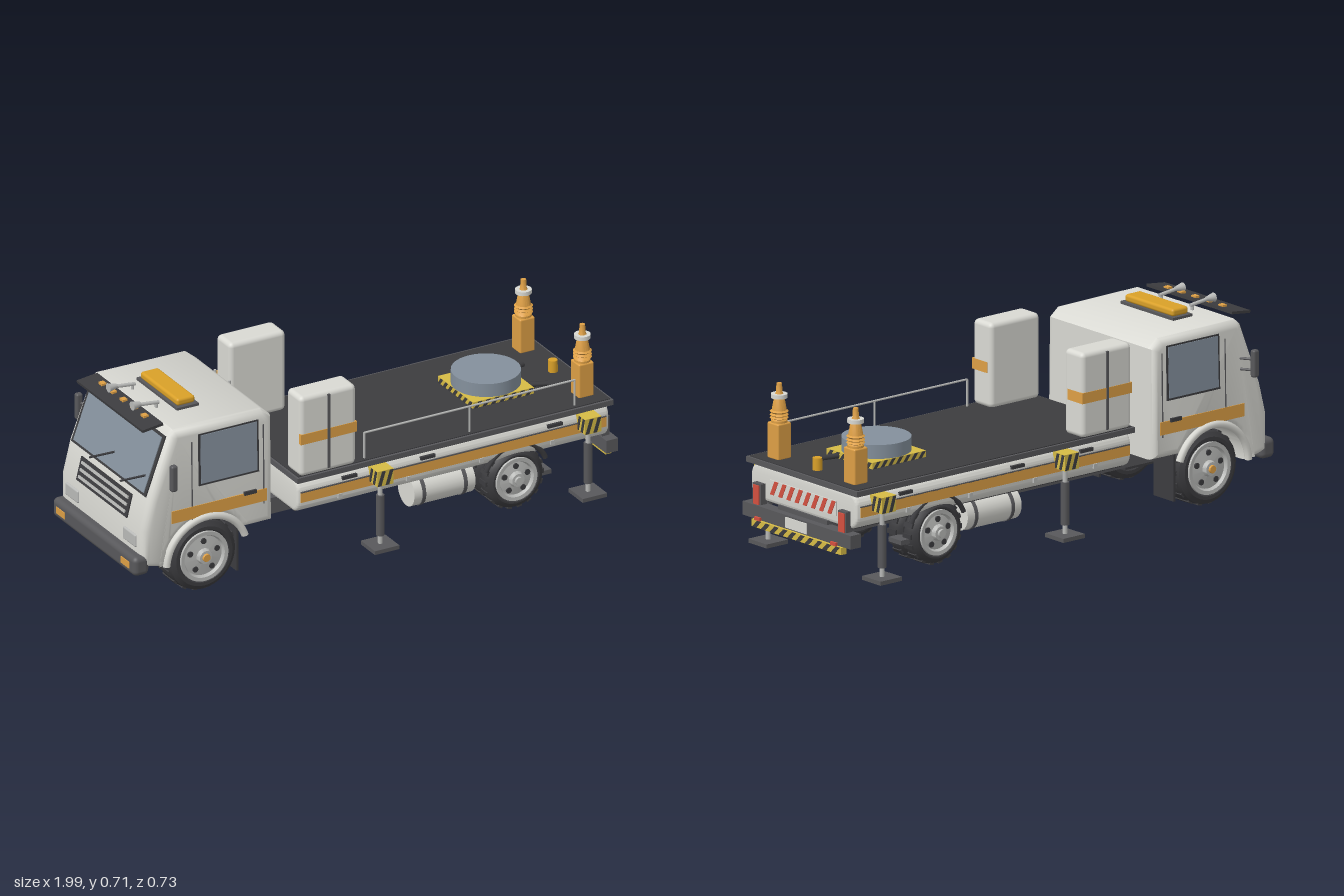
import * as THREE from 'three';
import { toCreasedNormals } from 'three/addons/utils/BufferGeometryUtils.js';
import { RoundedBoxGeometry } from 'three/addons/geometries/RoundedBoxGeometry.js';

const mat = (name, color) => Object.assign(new THREE.MeshStandardMaterial({ color }), { name });
const M = {
  white: mat('warm white paint', 0xd9d9d3), orange: mat('orange', 0xdd9f45), amber: mat('amber lens', 0xd9a028),
  dark: mat('dark grey trim', 0x58585b), black: mat('near black rubber', 0x3c3c3f), glass: mat('blue grey', 0x84909c),
  yellow: mat('hazard yellow', 0xd6bb45), red: mat('signal red', 0xd4503f), metal: mat('light metal', 0xb9bab8),
};

export function createModel() {
  const root = new THREE.Group();
  root.name = 'serviceTruck';
  const add = (name, geo, m, x = 0, y = 0, z = 0, parent = root) => {
    const mesh = new THREE.Mesh(geo, m);
    mesh.name = name;
    mesh.position.set(x, y, z);
    parent.add(mesh);
    return mesh;
  };
  // box given by its limits on each axis
  const box = (name, m, x0, x1, y0, y1, z0, z1, r = 0) => {
    const s = [x1 - x0, y1 - y0, z1 - z0];
    return add(name, r ? new RoundedBoxGeometry(...s, 3, r) : new THREE.BoxGeometry(...s), m,
      (x0 + x1) / 2, (y0 + y1) / 2, (z0 + z1) / 2);
  };
  const sideBox = (name, m, s, x0, x1, y0, y1, z0, z1, r = 0) =>
    box(name, m, x0, x1, y0, y1, s > 0 ? z0 : -z1, s > 0 ? z1 : -z0, r);
  const rod = (name, m, a, b, r) => {
    const p = new THREE.Vector3(...a), q = new THREE.Vector3(...b), d = q.clone().sub(p);
    const mesh = add(name, new THREE.CylinderGeometry(r, r, d.length(), 8), m, ...p.add(q).multiplyScalar(0.5).toArray());
    mesh.quaternion.setFromUnitVectors(new THREE.Vector3(0, 1, 0), d.normalize());
  };
  const poly = pts => new THREE.Shape(pts.map(p => new THREE.Vector2(...p)));
  const plate = (pts, depth = 0.004) => new THREE.ExtrudeGeometry(poly(pts), { depth, bevelEnabled: false });
  // row of slanted stripes, centred, facing +z before turning by ry
  const stripes = (name, m, w, h, n, x, y, z, ry) => {
    const g = new THREE.Group();
    g.name = name;
    g.position.set(x, y, z);
    g.rotation.y = ry;
    root.add(g);
    const p = w / n, k = p * 0.45;
    for (let i = 0; i < n; i++) {
      const u = -w / 2 + i * p;
      add('stripe', plate([[u, -h / 2], [u + k, -h / 2], [u + p, h / 2], [u + p - k, h / 2]], 0.002), m, 0, 0, 0, g);
    }
  };

  // Cab: side profile with wheel arch, rounded edges, slight taper to the roof
  const cab = poly([[-0.43, 0.22], [-0.43, 0.63], [-0.47, 0.663], [-0.83, 0.667], [-0.85, 0.65], [-0.935, 0.42],
    [-0.965, 0.30], [-0.965, 0.16], [-0.88, 0.14]]);
  cab.absarc(-0.705, 0.14, 0.165, Math.PI, 0.5, true);
  const cabGeo = new THREE.ExtrudeGeometry(cab, { depth: 0.53, bevelThickness: 0.033, bevelSize: 0.03, bevelOffset: -0.03,
    bevelSegments: 5, curveSegments: 24 });
  cabGeo.translate(0, 0, -0.265);
  const taper = y => 1 - 0.1 * Math.max(0, y - 0.42);
  const P = cabGeo.attributes.position;
  for (let i = 0; i < P.count; i++) P.setZ(i, P.getZ(i) * taper(P.getY(i)));
  add('cabShell', toCreasedNormals(cabGeo, 0.7), M.white);
  box('cabUnderside', M.black, -0.93, -0.44, 0.15, 0.32, -0.13, 0.13);

  // Windshield, visor and grille on the front
  const slant = -Math.atan2(0.085, 0.23);
  const ws = add('windshieldFrame', new THREE.BoxGeometry(0.008, 0.235, 0.53), M.black, -0.894, 0.532, 0);
  const wg = add('windshield', new THREE.BoxGeometry(0.008, 0.215, 0.50), M.glass, -0.897, 0.533, 0);
  ws.rotation.z = wg.rotation.z = slant;
  for (const z of [-0.12, 0.1]) rod('wiper', M.black, [-0.945, 0.42, z], [-0.918, 0.49, z + 0.13], 0.004);
  const grille = new THREE.Group();
  grille.name = 'grille';
  grille.position.set(-0.951, 0.355, 0);
  grille.rotation.z = -0.245;
  root.add(grille);
  add('grillePanel', new THREE.BoxGeometry(0.01, 0.09, 0.36), M.black, 0, 0, 0, grille);
  for (let i = -1; i <= 1; i++) add('grilleBar', new THREE.BoxGeometry(0.012, 0.01, 0.33), M.metal, -0.004, i * 0.027, 0, grille);
  const visor = add('sunVisor', new THREE.BoxGeometry(0.085, 0.01, 0.47), M.black, -0.89, 0.672, 0);
  visor.rotation.z = 0.12;
  for (let i = -2; i <= 2; i++) box('markerLight', M.orange, -0.885, -0.865, 0.672, 0.686, i * 0.075 - 0.012, i * 0.075 + 0.012);
  box('frontBumper', M.dark, -1.0, -0.935, 0.13, 0.205, -0.295, 0.295, 0.02);
  box('beaconBase', M.dark, -0.74, -0.65, 0.655, 0.675, -0.145, 0.145);
  box('beaconBar', M.amber, -0.732, -0.658, 0.674, 0.702, -0.133, 0.133, 0.01);

  for (const s of [1, -1]) {
    const side = (name, m, pts, z = 0.298) => {
      const mesh = add(name, plate(pts), m, 0, 0, s > 0 ? z : -z - 0.004);
      return mesh;
    };
    // Door, side window and stripe
    const rect = (x0, x1, y0, y1) => [[x0, y0], [x1, y0], [x1, y1], [x0, y1]];
    const tilt = (name, m, r, lift) => {
      const g = plate(rect(...r)), q = g.attributes.position;
      for (let i = 0; i < q.count; i++) q.setZ(i, s * (0.298 * taper(q.getY(i)) + lift) + q.getZ(i) - 0.002);
      g.computeVertexNormals();
      add(name, g, m);
    };
    tilt('windowFrame', M.black, [-0.738, -0.492, 0.432, 0.634], 0);
    tilt('sideWindow', M.glass, [-0.73, -0.5, 0.44, 0.628], 0.002);
    for (const x of [-0.765, -0.472]) tilt('doorSeam', M.dark, [x - 0.002, x + 0.002, 0.30, 0.61], 0);
    side('cabStripe', M.orange, [[-0.85, 0.31], [-0.46, 0.31], [-0.46, 0.358], [-0.85, 0.358]], 0.296);
    sideBox('doorHandle', M.black, s, -0.555, -0.505, 0.352, 0.366, 0.298, 0.306);
    // Arch lip
    const lip = add('archLip', new THREE.TorusGeometry(0.165, 0.014, 8, 32, 2.75), M.white, -0.705, 0.14, s * 0.298);
    lip.rotation.z = 0.35;
    const liner = add('archLiner', new THREE.CylinderGeometry(0.162, 0.162, 0.15, 28, 1, true), M.black, -0.705, 0.14, s * 0.21);
    liner.rotation.x = Math.PI / 2;
    liner.geometry = new THREE.CylinderGeometry(0.163, 0.163, 0.15, 28, 1, true, Math.PI / 2, Math.PI);
    liner.material = M.black;
    liner.visible = false;
    // Mirrors, horns and lamps
    sideBox('mirror', M.dark, s, -0.878, -0.852, 0.46, 0.562, 0.327, 0.351, 0.008);
    for (const y of [0.485, 0.525]) rod('mirrorArm', M.dark, [-0.83, y, s * 0.28], [-0.865, y, s * 0.335], 0.005);
    rod('horn', M.metal, [-0.87, 0.695, s * 0.085], [-0.78, 0.685, s * 0.085], 0.007);
    const bell = add('hornBell', new THREE.CylinderGeometry(0.008, 0.017, 0.035, 16), M.metal, -0.872, 0.695, s * 0.085);
    bell.rotation.z = Math.PI / 2 * -1;
    rod('hornFoot', M.metal, [-0.79, 0.65, s * 0.085], [-0.79, 0.69, s * 0.085], 0.006);
    sideBox('headlight', M.metal, s, -0.972, -0.955, 0.225, 0.275, 0.16, 0.25, 0.007);
    sideBox('frontIndicator', M.orange, s, -1.003, -0.99, 0.155, 0.18, 0.2, 0.26);
    sideBox('frontMudFlap', M.black, s, -0.563, -0.555, 0.04, 0.22, 0.15, 0.26);

    // Cargo body side trim
    side('bodyStripe', M.orange, rect(-0.32, 0.93, 0.264, 0.302), 0.294);
    sideBox('bodyStripeLine', M.dark, s, -0.32, 0.93, 0.301, 0.305, 0.29, 0.298);
    for (const x of [-0.12, 0.2, 0.72]) sideBox('latch', M.black, s, x - 0.03, x + 0.03, 0.313, 0.325, 0.283, 0.299);
    for (const x of [-0.16, 0.12, 0.42, 0.71]) sideBox('sideMarker', M.metal, s, x - 0.008, x + 0.008, 0.245, 0.262, 0.285, 0.299);
    const arch = add('rearArch', new THREE.TorusGeometry(0.132, 0.01, 6, 24, Math.PI * 0.75), M.black, 0.565, 0.145, s * 0.285);
    arch.rotation.z = Math.PI * 0.125;

    // Tool cabinet
    sideBox('cabinet', M.white, s, -0.325, -0.095, 0.366, 0.68, 0.2, 0.302, 0.018);
    sideBox('cabinetBand', M.orange, s, -0.324, -0.094, 0.495, 0.535, 0.22, 0.304);
    sideBox('cabinetSeam', M.dark, s, -0.215, -0.205, 0.38, 0.67, 0.28, 0.306);

    // Under-body tank with straps
    const tank = add('tank', new THREE.CylinderGeometry(0.06, 0.06, 0.25, 24), M.white, 0.285, 0.162, s * 0.21);
    tank.rotation.z = Math.PI / 2;
    for (const x of [0.2, 0.37]) {
      const strap = add('tankStrap', new THREE.CylinderGeometry(0.063, 0.063, 0.014, 24), M.dark, x, 0.162, s * 0.21);
      strap.rotation.z = Math.PI / 2;
    }

    // Outriggers
    for (const x of [-0.005, 0.845]) {
      sideBox('outriggerHead', M.yellow, s, x - 0.033, x + 0.033, 0.28, 0.34, 0.285, 0.351);
      stripes('outriggerStripes', M.black, 0.064, 0.056, 2, x, 0.31, s * 0.351, s > 0 ? 0 : Math.PI);
      for (const e of [1, -1]) stripes('outriggerEndStripes', M.black, 0.056, 0.056, 2, x + e * 0.033, 0.31, s * 0.321, e * Math.PI / 2);
      rod('outriggerRod', M.metal, [x, 0.03, s * 0.313], [x, 0.29, s * 0.313], 0.009);
      rod('outriggerLeg', M.dark, [x, 0.07, s * 0.313], [x, 0.228, s * 0.313], 0.016);
      sideBox('outriggerPad', M.dark, s, x - 0.05, x + 0.05, 0.022, 0.037, 0.262, 0.363);
    }

    // Rear warning posts with ribbed cones
    sideBox('warningPost', M.orange, s, 0.85, 0.912, 0.366, 0.5, 0.179, 0.241, 0.006);
    const cone = [[0, 0.5], [0.03, 0.5], [0.03, 0.508], [0.026, 0.512], [0.034, 0.516], [0.026, 0.522], [0.034, 0.527],
      [0.026, 0.533], [0.034, 0.54], [0.027, 0.545], [0.017, 0.6], [0.012, 0.61], [0.01, 0.643], [0, 0.646]];
    add('warningCone', toCreasedNormals(new THREE.LatheGeometry(cone.map(p => new THREE.Vector2(...p)), 20), 0.6), M.orange, 0.881, 0, s * 0.21);
    add('coneCollar', new THREE.CylinderGeometry(0.03, 0.03, 0.015, 20), M.white, 0.881, 0.597, s * 0.21);

    // Tail lamps and turntable claws
    sideBox('tailLampFrame', M.dark, s, 0.935, 0.965, 0.2, 0.282, 0.212, 0.257);
    sideBox('tailLamp', M.red, s, 0.96, 0.97, 0.206, 0.276, 0.219, 0.25);
    sideBox('reflector', M.red, s, 0.978, 0.987, 0.154, 0.166, 0.194, 0.224);
    rod('turntableClaw', M.black, [0.7, 0.38, s * 0.055], [0.81, 0.375, s * 0.09], 0.01);
    sideBox('exhaustStub', M.dark, s, 0.66, 0.72, 0.118, 0.135, 0.2, 0.27);
  }

  // Chassis and cargo body
  box('chassis', M.dark, -0.9, 0.95, 0.16, 0.222, -0.135, 0.135);
  const [w, lo, hi, r] = [0.293, 0.217, 0.349, 0.045];
  const sec = new THREE.Shape();
  sec.absarc(w - r, lo + r, r, -Math.PI / 2, 0);
  sec.absarc(w - r, hi - r, r, 0, Math.PI / 2);
  sec.absarc(r - w, hi - r, r, Math.PI / 2, Math.PI);
  sec.absarc(r - w, lo + r, r, Math.PI, Math.PI * 1.5);
  const body = new THREE.ExtrudeGeometry(sec, { depth: 1.25, bevelThickness: 0.012, bevelSize: 0.012, bevelOffset: -0.012, bevelSegments: 3 });
  add('cargoBody', toCreasedNormals(body.rotateY(Math.PI / 2), 0.6), M.white, -0.318, 0, 0);
  box('bodyFloor', M.black, -0.32, 0.93, 0.212, 0.222, -0.25, 0.25);
  box('deckEdge', M.dark, -0.338, 0.955, 0.346, 0.366, -0.305, 0.305);
  box('deckTop', M.black, -0.33, 0.947, 0.364, 0.369, -0.295, 0.295);

  // Turntable and beacon
  box('turntableBase', M.yellow, 0.482, 0.732, 0.366, 0.393, -0.125, 0.125);
  for (let i = 0; i < 4; i++) {
    const a = i * Math.PI / 2;
    stripes('turntableStripes', M.black, 0.245, 0.024, 7, 0.607 + 0.125 * Math.sin(a), 0.38, 0.125 * Math.cos(a), a);
  }
  add('turntable', new THREE.CylinderGeometry(0.125, 0.125, 0.052, 40), M.glass, 0.607, 0.418, 0);
  add('rearBeacon', new THREE.CylinderGeometry(0.017, 0.018, 0.048, 16), M.amber, 0.881, 0.39, 0);

  // Handrail on one side and ladder behind the cab
  rod('handrail', M.metal, [-0.05, 0.468, 0.278], [0.812, 0.468, 0.278], 0.004);
  for (const x of [-0.05, 0.38, 0.81]) rod('railPost', M.metal, [x, 0.36, 0.278], [x, 0.468, 0.278], 0.004);
  for (const z of [-0.065, -0.168]) rod('ladderRail', M.metal, [-0.405, 0.22, z], [-0.405, 0.615, z], 0.005);
  for (let i = 0; i < 6; i++) rod('ladderRung', M.metal, [-0.405, 0.26 + i * 0.066, -0.065], [-0.405, 0.26 + i * 0.066, -0.168], 0.004);

  // Rear end
  box('rearBumper', M.dark, 0.93, 0.978, 0.156, 0.206, -0.297, 0.297);
  box('rearPlate', M.white, 0.976, 0.982, 0.161, 0.2, -0.058, 0.058);
  box('hazardBar', M.yellow, 0.955, 0.98, 0.125, 0.152, -0.246, 0.246);
  stripes('hazardBarStripes', M.black, 0.48, 0.026, 10, 0.98, 0.1385, 0, Math.PI / 2);
  box('reflectivePanel', M.white, 0.94, 0.948, 0.25, 0.304, -0.182, 0.182);
  stripes('reflectiveStripes', M.red, 0.36, 0.052, 8, 0.948, 0.277, 0, Math.PI / 2);

  // Wheels: lathed tyre, tread lugs, dished hub with holes
  const wheel = (name, x, y, z, R, W, s, cap) => {
    const g = new THREE.Group();
    g.name = name;
    g.position.set(x, y, z);
    if (s < 0) g.rotation.y = Math.PI;
    root.add(g);
    const h = W / 2, rim = R * 0.66;
    const prof = [[rim, -h + 0.01], [rim + 0.01, -h], [R - 0.025, -h], [R - 0.008, -h + 0.012], [R - 0.003, -h * 0.4],
      [R - 0.003, h * 0.4], [R - 0.008, h - 0.012], [R - 0.025, h], [rim + 0.01, h], [rim, h - 0.01]];
    const lathe = p => toCreasedNormals(new THREE.LatheGeometry(p.map(q => new THREE.Vector2(...q)), 36).rotateX(Math.PI / 2), 0.6);
    add('tyre', lathe(prof), M.black, 0, 0, 0, g);
    for (let i = 0; i < 18; i++) {
      const a = i * Math.PI / 9;
      const lug = add('treadLug', new THREE.BoxGeometry(0.008, 0.018, W * 0.62), M.black, Math.cos(a) * (R - 0.004), Math.sin(a) * (R - 0.004), 0, g);
      lug.rotation.z = a;
    }
    const hub = add('hubBack', new THREE.CylinderGeometry(rim + 0.004, rim + 0.004, W - 0.03, 32), M.metal, 0, 0, 0, g);
    hub.rotation.x = Math.PI / 2;
    add('hubDish', lathe([[rim + 0.006, h - 0.015], [rim + 0.004, h + 0.003], [rim - 0.01, h + 0.002], [rim - 0.016, h - 0.01],
      [0.03, h - 0.004], [0.025, h + 0.012], [0, h + 0.013]].reverse()), M.metal, 0, 0, 0, g).material.side = THREE.DoubleSide;
    for (let i = 0; i < 5; i++) {
      const a = i * Math.PI * 0.4 + Math.PI / 2;
      const hole = add('hubHole', new THREE.CylinderGeometry(0.011, 0.011, 0.006, 12), M.black, Math.cos(a) * rim * 0.62, Math.sin(a) * rim * 0.62, h - 0.006, g);
      hole.rotation.x = Math.PI / 2;
    }
    const c = add('hubCap', new THREE.CylinderGeometry(0.014, 0.016, 0.01, 12), cap, 0, 0, h + 0.015, g);
    c.rotation.x = Math.PI / 2;
  };
  for (const s of [1, -1]) {
    wheel('frontWheel', -0.705, 0.14, s * 0.215, 0.14, 0.13, s, M.orange);
    wheel('rearOuterWheel', 0.565, 0.142, s * 0.257, 0.12, 0.072, s, M.metal);
    wheel('rearInnerWheel', 0.565, 0.142, s * 0.174, 0.12, 0.072, s, M.metal);
  }
  for (const x of [-0.705, 0.565]) rod('axle', M.dark, [x, 0.142, -0.2], [x, 0.142, 0.2], 0.022);
  return root;
}
